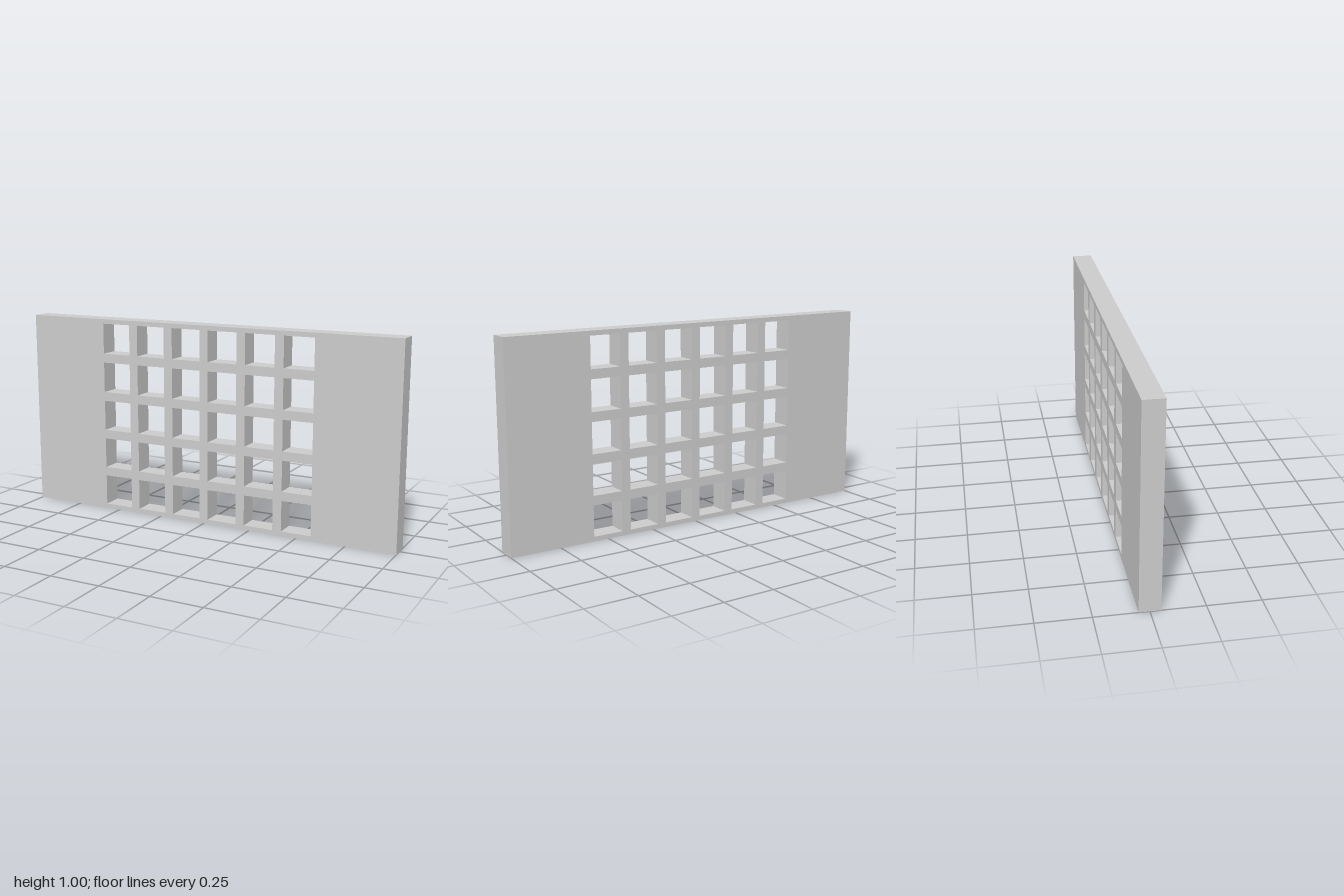
import * as THREE from 'three';

const WIDTH = 2, HEIGHT = 1, DEPTH = 0.1;
const COLUMNS = 6, ROWS = 5, PITCH = 0.2, HOLE = 0.154;

// Adds a rectangle centred on (cx, cy) to a shape or path
function traceRect(path, cx, cy, w, h) {
  path.moveTo(cx - w / 2, cy - h / 2);
  path.lineTo(cx + w / 2, cy - h / 2);
  path.lineTo(cx + w / 2, cy + h / 2);
  path.lineTo(cx - w / 2, cy + h / 2);
  path.closePath();
  return path;
}

export function createModel() {
  const group = new THREE.Group();
  group.name = 'perforatedPanel';

  // Solid slab outline
  const outline = traceRect(new THREE.Shape(), 0, HEIGHT / 2, WIDTH, HEIGHT);

  // Grid of square through-holes
  for (let row = 0; row < ROWS; row++) {
    for (let col = 0; col < COLUMNS; col++) {
      const cx = (col - (COLUMNS - 1) / 2) * PITCH;
      const cy = (row + 0.5) * PITCH;
      outline.holes.push(traceRect(new THREE.Path(), cx, cy, HOLE, HOLE));
    }
  }

  const geometry = new THREE.ExtrudeGeometry(outline, { depth: DEPTH, bevelEnabled: false });
  geometry.translate(0, 0, -DEPTH / 2);

  const panel = new THREE.Mesh(
    geometry,
    new THREE.MeshStandardMaterial({ color: 0xcccccc, flatShading: true })
  );
  panel.name = 'latticePanel';
  group.add(panel);
  return group;
}
